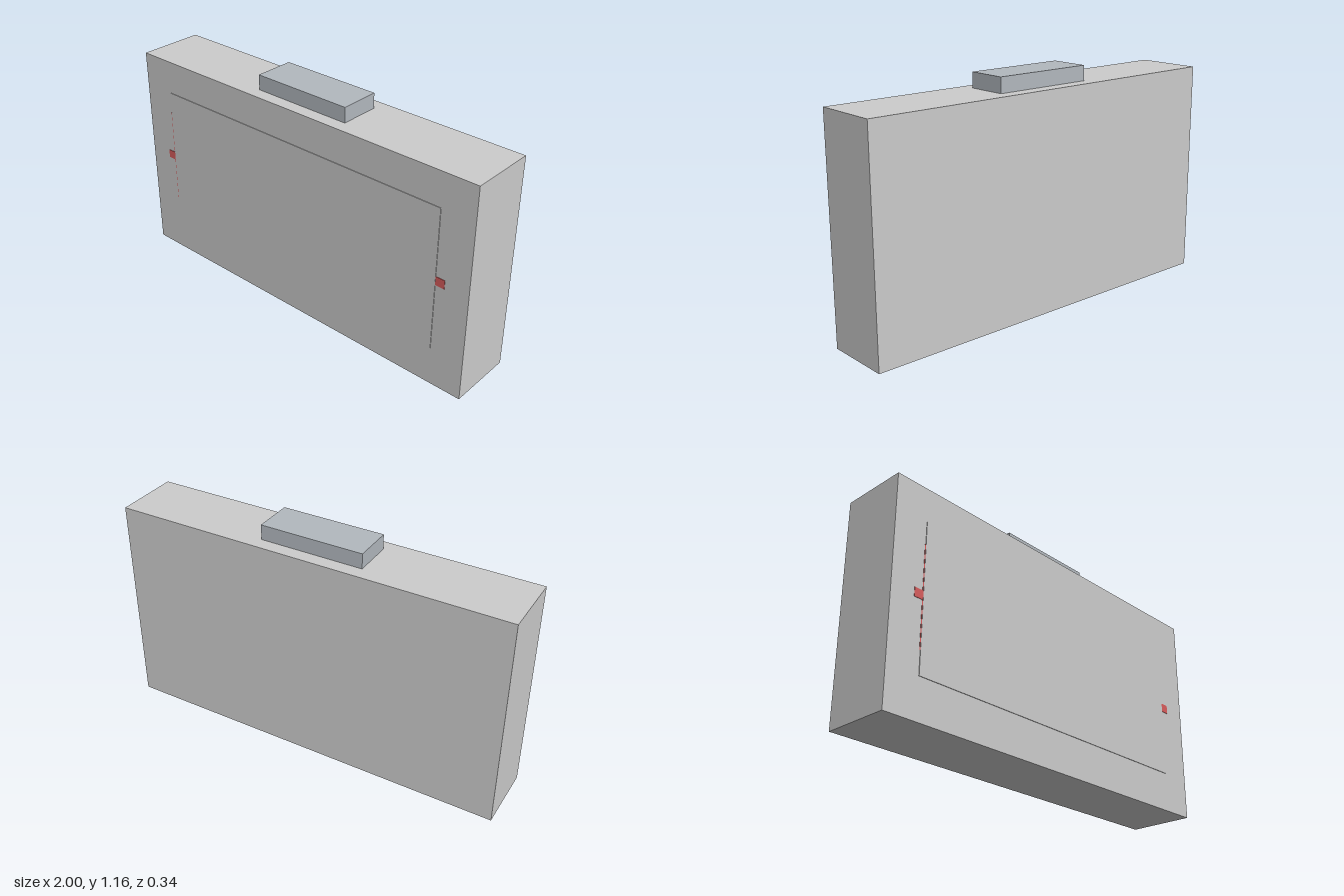
import * as THREE from 'three';

export function createModel() {
  const group = new THREE.Group();
  const grey = new THREE.MeshStandardMaterial({ color: 0xcccccc });
  const blueGrey = new THREE.MeshStandardMaterial({ color: 0xb2b8be });
  const red = new THREE.MeshStandardMaterial({ color: 0xd85c5c });

  // Box given by its minimum and maximum corners
  function box(name, [x0, y0, z0], [x1, y1, z1], material) {
    const mesh = new THREE.Mesh(new THREE.BoxGeometry(x1 - x0, y1 - y0, z1 - z0), material);
    mesh.position.set((x0 + x1) / 2, (y0 + y1) / 2, (z0 + z1) / 2);
    mesh.name = name;
    group.add(mesh);
  }

  // Case and the grip on its lid
  box('caseBody', [-1, 0, -0.168], [1, 1.09, 0.165], grey);
  box('topHandle', [-0.26, 1.09, -0.1], [0.26, 1.165, 0.1], blueGrey);

  // Thin raised panel on the front
  box('frontPanel', [-0.83, 0.197, 0.16], [0.83, 0.922, 0.168], grey);

  // Red tabs either side of the panel
  for (const side of [-1, 1]) {
    const inner = side * 0.83, outer = side * 0.877;
    box(side < 0 ? 'rightTab' : 'leftTab',
      [Math.min(inner, outer), 0.54, 0.16], [Math.max(inner, outer), 0.584, 0.167], red);
  }

  // Narrow red trim along one panel edge
  box('rightTrim', [-0.834, 0.31, 0.16], [-0.83, 0.81, 0.1665], red);

  return group;
}
